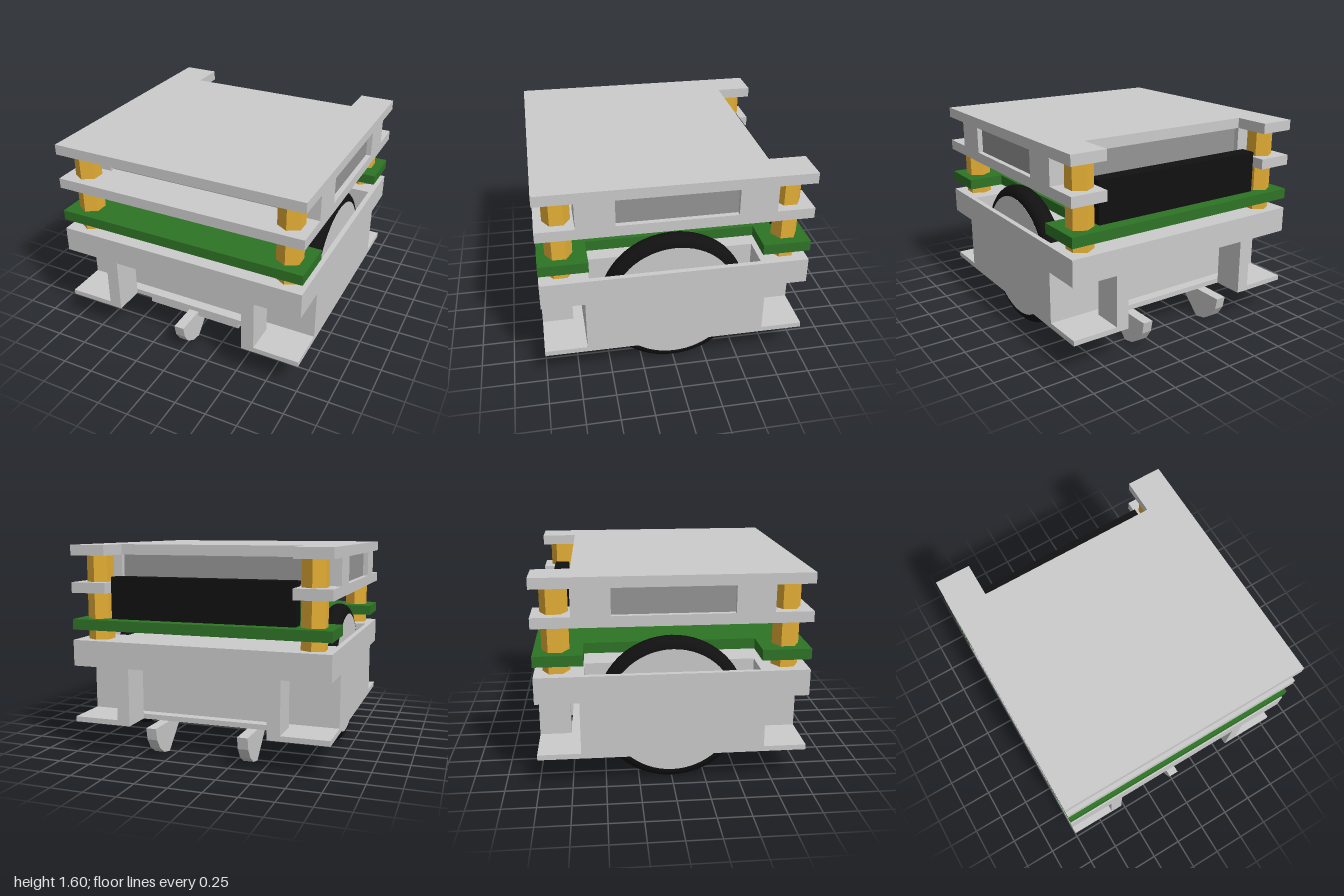
import * as THREE from 'three';

const material = (color) => new THREE.MeshStandardMaterial({ color });

export function createModel() {
  const model = new THREE.Group();
  const grey = material(0xcccccc);
  const darkGrey = material(0x959595);
  const green = material(0x2e7426);
  const black = material(0x111111);
  const brass = material(0xe6b035);

  const add = (name, geometry, mat) => {
    const mesh = new THREE.Mesh(geometry, mat);
    mesh.name = name;
    model.add(mesh);
    return mesh;
  };

  // Box given by its limits on each axis
  const box = (name, x0, x1, y0, y1, z0, z1, mat = grey) =>
    add(name, new THREE.BoxGeometry(x1 - x0, y1 - y0, z1 - z0)
      .translate((x0 + x1) / 2, (y0 + y1) / 2, (z0 + z1) / 2), mat);

  // Horizontal slab from an [x, z] outline, with optional holes
  const toPoints = (list) => list.map(([x, z]) => new THREE.Vector2(x, z));
  const slab = (name, outline, y0, y1, mat = grey, holes = []) => {
    const shape = new THREE.Shape(toPoints(outline));
    holes.forEach((hole) => shape.holes.push(new THREE.Path(toPoints(hole))));
    const geometry = new THREE.ExtrudeGeometry(shape, { depth: y1 - y0, bevelEnabled: false });
    return add(name, geometry.rotateX(Math.PI / 2).translate(0, y1, 0), mat);
  };
  const rect = (x0, x1, z0, z1) => [[x0, z0], [x1, z0], [x1, z1], [x0, z1]];

  // Chassis: three layers pierced by the wheel wells
  const wells = [rect(0.72, 0.96, -0.64, 0.64), rect(-0.96, -0.72, -0.64, 0.64)];
  slab('chassisDeck', rect(-1, 1, -1, 1), 0.68, 0.88, grey, wells);
  slab('chassisBody', rect(-1, 1, -0.68, 0.68), 0.28, 0.68, grey, wells);
  slab('chassisFloor', [
    [-1, -1], [-0.54, -1], [-0.54, -0.76], [0.54, -0.76], [0.54, -1], [1, -1],
    [1, 1], [0.54, 1], [0.54, 0.76], [-0.54, 0.76], [-0.54, 1], [-1, 1],
  ], 0.24, 0.28, grey, wells);

  // Four of each corner part
  for (const sx of [-1, 1]) {
    for (const sz of [-1, 1]) {
      add('chassisPost', new THREE.BoxGeometry(0.1, 0.4, 0.24), grey)
        .position.set(sx * 0.59, 0.48, sz * 0.88);
      add('trayCorner', new THREE.BoxGeometry(0.28, 0.2, 0.28), grey)
        .position.set(sx * 0.86, 1.42, sz * 0.58);
      const standoff = new THREE.CylinderGeometry(0.1, 0.1, 0.64, 6).toNonIndexed();
      standoff.computeVertexNormals();
      add('hexStandoff', standoff, brass).position.set(sx * 0.84, 1.2, sz * 0.84);
    }
  }

  // Skid feet: quarter-round toe and a sloped heel, one in front and two behind
  const footShape = new THREE.Shape();
  footShape.moveTo(0.56, 0.24);
  footShape.lineTo(0.56, 0.2);
  for (let i = 0; i <= 4; i++) {
    const a = -Math.PI / 2 + (i * Math.PI) / 8;
    footShape.lineTo(0.76 + 0.24 * Math.cos(a), 0.24 + 0.24 * Math.sin(a));
  }
  footShape.closePath();
  const footGeometry = new THREE.ExtrudeGeometry(footShape, { depth: 0.08, bevelEnabled: false })
    .translate(0, 0, -0.04).rotateY(-Math.PI / 2);
  add('frontSkid', footGeometry, grey);
  for (const sx of [-1, 1]) {
    const skid = add('rearSkid', footGeometry, grey);
    skid.rotation.y = Math.PI;
    skid.position.x = sx * 0.36;
  }
  box('frontSkidPlate', -0.4, 0.4, 0.2, 0.24, 0.56, 0.76);

  // Wheels: flat disc with a round tyre
  for (const sx of [-1, 1]) {
    const wheel = new THREE.Group();
    wheel.name = 'wheel';
    const tyre = new THREE.Mesh(new THREE.TorusGeometry(0.48, 0.08, 20, 64).rotateY(Math.PI / 2), black);
    tyre.name = 'tyre';
    const disc = new THREE.Mesh(new THREE.CylinderGeometry(0.48, 0.48, 0.162, 64).rotateZ(Math.PI / 2), grey);
    disc.name = 'wheelDisc';
    wheel.add(tyre, disc);
    wheel.position.set(sx * 0.84, 0.56, 0);
    model.add(wheel);
  }

  // Circuit board, cut away around the wheels
  slab('circuitBoard', [
    [-1, -1], [1, -1], [1, -0.64], [0.72, -0.64], [0.72, 0.64], [1, 0.64],
    [1, 1], [-1, 1], [-1, 0.64], [-0.72, 0.64], [-0.72, -0.64], [-1, -0.64],
  ], 0.96, 1.04, green);
  box('connector', -0.72, 0.72, 1.04, 1.36, -0.9, -0.78, black);

  // Upper tray: two plates notched at the back around a recessed pack
  const notched = [
    [-1, -1], [-0.72, -1], [-0.72, -0.72], [0.72, -0.72], [0.72, -1], [1, -1], [1, 1], [-1, 1],
  ];
  slab('trayPlate', notched, 1.24, 1.32);
  slab('topPlate', notched, 1.52, 1.6);
  box('batteryPack', -0.96, 0.96, 1.32, 1.52, -0.68, 0.68, darkGrey);

  return model;
}
